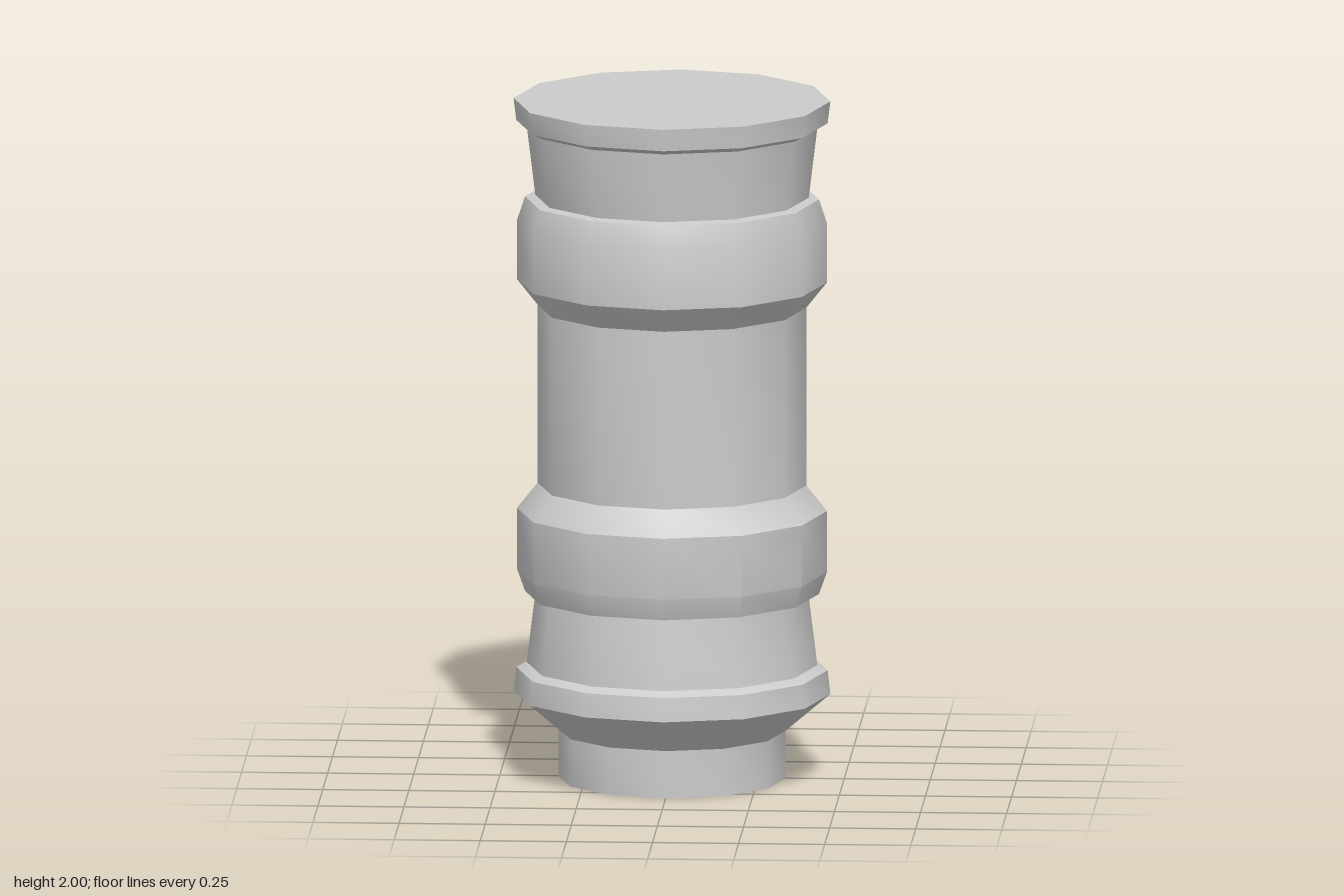
import * as THREE from 'three';
import { toCreasedNormals } from 'three/addons/utils/BufferGeometryUtils.js';

const SIDES = 12;
const CREASE = 0.6; // smooth around the sides, sharp at the profile's corners

// Each part is a band of the turned body: [radius, height] from bottom to top
const PARTS = {
  foot: [[0.33, 0], [0.33, 0.14]],
  lowerFlange: [[0.33, 0.14], [0.46, 0.25], [0.452, 0.32], [0.422, 0.335]],
  lowerNeck: [[0.422, 0.335], [0.397, 0.54]],
  lowerCollar: [[0.397, 0.54], [0.427, 0.545], [0.45, 0.61], [0.45, 0.79], [0.39, 0.865]],
  barrel: [[0.39, 0.865], [0.39, 1.39]],
  upperCollar: [[0.39, 1.39], [0.45, 1.465], [0.45, 1.64], [0.427, 1.71], [0.397, 1.715]],
  upperNeck: [[0.397, 1.715], [0.422, 1.92]],
  topRim: [[0.422, 1.92], [0.452, 1.935], [0.46, 2]],
};

export function createModel() {
  const group = new THREE.Group();
  group.name = 'ribbedColumn';
  const material = new THREE.MeshStandardMaterial({ color: 0xcccccc });

  const add = (name, geometry) => {
    const mesh = new THREE.Mesh(geometry, material);
    mesh.name = name;
    group.add(mesh);
    return mesh;
  };

  // Turned bands
  for (const [name, profile] of Object.entries(PARTS)) {
    const points = profile.map(([r, y]) => new THREE.Vector2(r, y));
    add(name, toCreasedNormals(new THREE.LatheGeometry(points, SIDES), CREASE));
  }

  // Flat end caps
  add('topCap', new THREE.CircleGeometry(0.46, SIDES).rotateX(-Math.PI / 2)).position.y = 2;
  add('bottomCap', new THREE.CircleGeometry(0.33, SIDES).rotateX(Math.PI / 2));

  return group;
}
